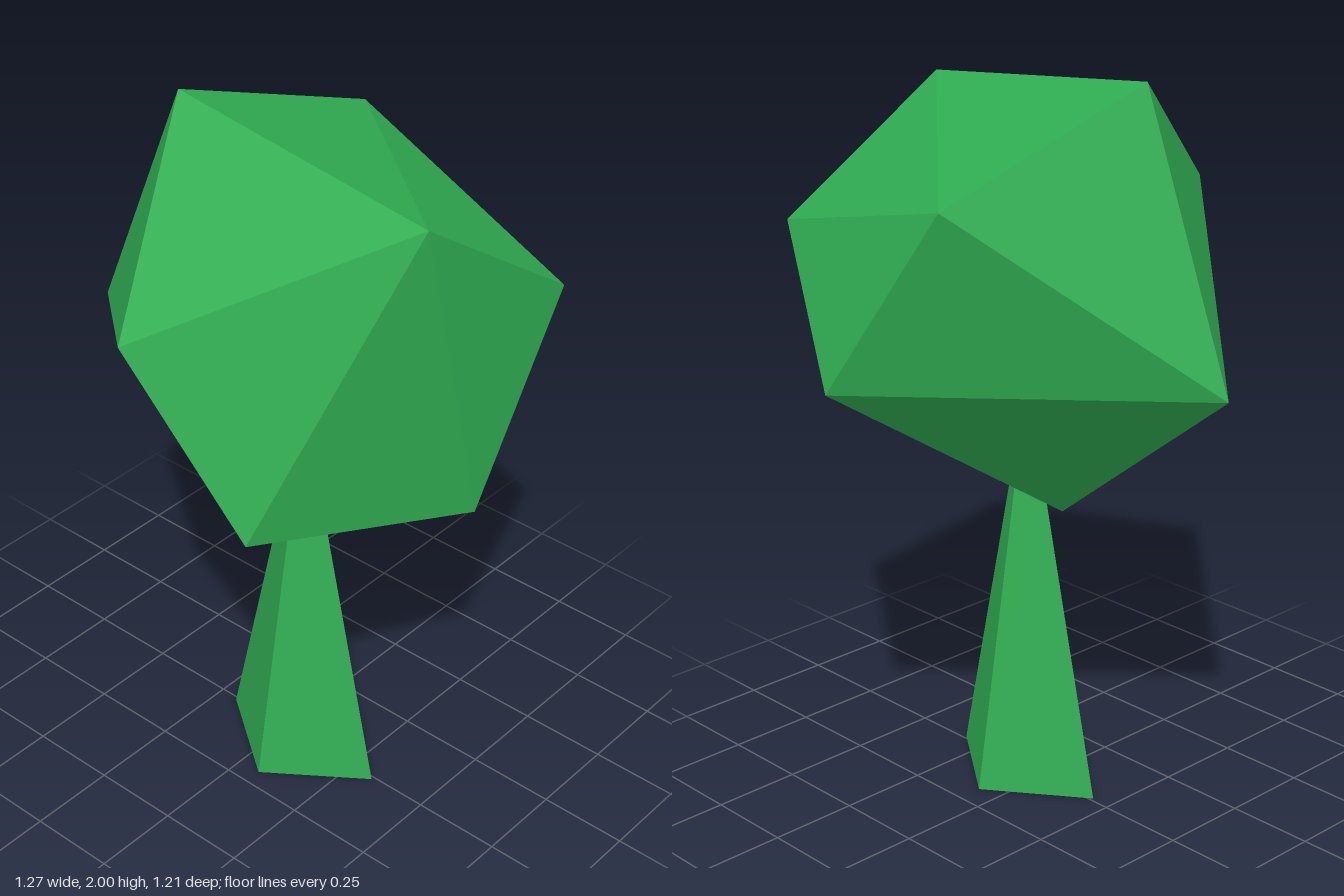
import * as THREE from 'three';
import { ConvexGeometry } from 'three/addons/geometries/ConvexGeometry.js';

export function createModel() {
  const group = new THREE.Group();
  group.name = 'tree';
  const green = new THREE.MeshStandardMaterial({ color: 0x30ad52 });
  green.name = 'leaf green';

  // Faceted crown: convex hull of ten corners
  const corners = [
    [-0.11, 2.0, -0.26], [-0.13, 1.91, 0.55], [0.52, 1.765, -0.18],
    [0.36, 1.57, 0.605], [-0.64, 1.62, 0.035], [0.635, 1.26, 0.125],
    [-0.525, 1.115, 0.33], [0.11, 0.98, 0.55], [-0.055, 1.255, -0.605],
    [-0.03, 0.81, -0.045],
  ].map((p) => new THREE.Vector3(...p));
  const crown = new THREE.Mesh(new ConvexGeometry(corners), green);
  crown.name = 'crown';
  group.add(crown);

  // Four-sided tapering trunk with a diamond footprint, its tip hidden in the crown
  const trunkGeometry = new THREE.CylinderGeometry(0.04, 0.19, 0.92, 4)
    .scale(1, 1, 0.26 / 0.19)
    .toNonIndexed();
  trunkGeometry.computeVertexNormals();
  const trunk = new THREE.Mesh(trunkGeometry, green);
  trunk.name = 'trunk';
  trunk.position.set(-0.01, 0.46, 0.07);
  group.add(trunk);

  return group;
}
